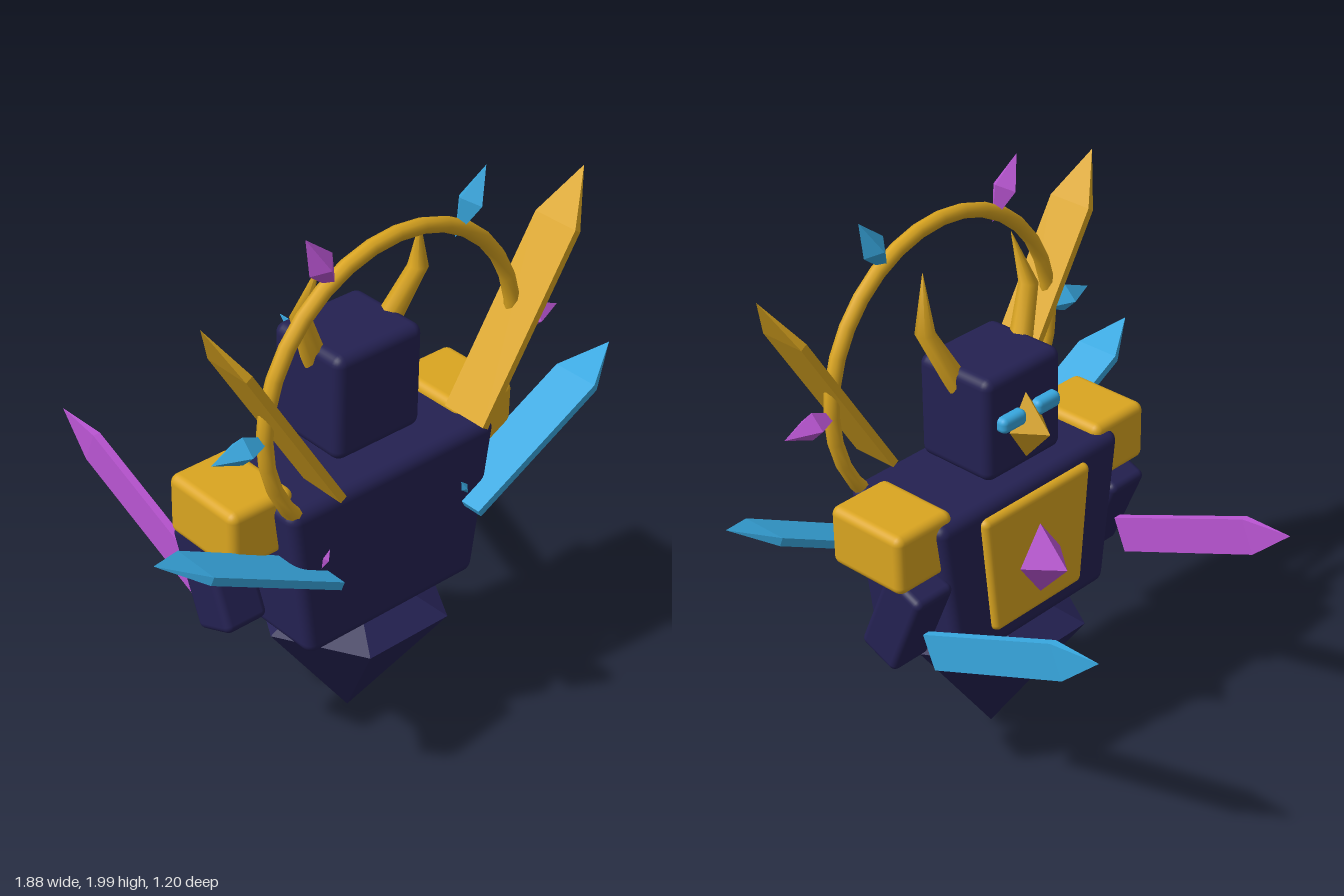
import * as THREE from 'three';
import { RoundedBoxGeometry } from 'three/addons/geometries/RoundedBoxGeometry.js';

const mat = (name, color) => {
  const m = new THREE.MeshStandardMaterial({ color });
  m.name = name;
  return m;
};

export function createModel() {
  const navy = mat('navy', 0x242152);
  const gold = mat('gold', 0xdaa520);
  const cyan = mat('cyan', 0x38a8e0);
  const orchid = mat('orchid', 0xba55d3);

  const model = new THREE.Group();
  model.name = 'crystalGuardian';

  const add = (name, geometry, material, x = 0, y = 0, z = 0) => {
    const mesh = new THREE.Mesh(geometry, material);
    mesh.name = name;
    mesh.position.set(x, y, z);
    model.add(mesh);
    return mesh;
  };

  // Faceted solid of revolution with a corner on the diagonal of its first side
  const faceted = (points, sides) => {
    const g = new THREE.LatheGeometry(points.map(p => new THREE.Vector2(...p)), sides)
      .rotateY(Math.PI / sides).toNonIndexed();
    g.computeVertexNormals();
    return g;
  };

  const rounded = (w, h, d, r) => new RoundedBoxGeometry(w, h, d, 3, r);

  // Rounded box narrowed towards its base
  const tapered = (w, h, d, r, bottomScale) => {
    const g = rounded(w, h, d, r);
    const p = g.attributes.position;
    for (let i = 0; i < p.count; i++) {
      const t = p.getY(i) / h + 0.5;
      p.setX(i, p.getX(i) * (bottomScale + (1 - bottomScale) * t));
    }
    return g;
  };

  const crystal = (rx, ry, rz) => new THREE.OctahedronGeometry(1).scale(rx, ry, rz);

  // Flat blade pointing up from its base, with a pyramid tip
  const blade = (width, thickness, length, tip) => {
    const r = Math.SQRT1_2;
    return faceted([[0, 0], [r, 0], [r, length - tip], [0, length]], 4)
      .scale(thickness, 1, width);
  };

  // Tapered horn from rings along a bent path
  const horn = side => {
    const path = [[0.14, 1.43, 0.285, 0.042], [0.237, 1.635, 0.33, 0.033], [0.2, 1.815, 0.37, 0.001]];
    const sides = 8, pos = [], index = [];
    path.forEach(([x, y, z, r], k) => {
      const lean = [0.44, 0.12, -0.2][k];
      for (let i = 0; i < sides; i++) {
        const a = i / sides * Math.PI * 2;
        const c = Math.cos(a) * r;
        pos.push(side * (x + c * Math.cos(lean)), y - c * Math.sin(lean), z + Math.sin(a) * r);
      }
    });
    for (let k = 0; k < path.length - 1; k++) {
      for (let i = 0; i < sides; i++) {
        const a = k * sides + i, b = k * sides + (i + 1) % sides;
        const c = a + sides, d = b + sides;
        if (side > 0) index.push(a, c, b, b, c, d);
        else index.push(a, b, c, b, d, c);
      }
    }
    const g = new THREE.BufferGeometry();
    g.setAttribute('position', new THREE.Float32BufferAttribute(pos, 3));
    g.setIndex(index);
    g.computeVertexNormals();
    return g;
  };

  // Floating lower body
  add('lowerCrystal', faceted([[0, 0.005], [0.335, 0.47], [0, 0.64]], 6), navy, 0, 0, 0.305);

  // Torso and chest
  add('torso', tapered(0.86, 0.57, 0.43, 0.04, 0.82), navy, 0, 0.805, 0.305);
  add('chestPlate', tapered(0.51, 0.45, 0.06, 0.025, 0.82), gold, 0, 0.825, 0.095);
  add('chestCrystal', crystal(0.105, 0.145, 0.13), orchid, 0, 0.8, 0.075);

  // Head and face
  add('head', rounded(0.35, 0.37, 0.31, 0.035), navy, 0, 1.315, 0.28);
  add('faceCrystal', crystal(0.08, 0.125, 0.11), gold, 0, 1.285, 0.13);

  for (const s of [1, -1]) {
    const side = s > 0 ? 'left' : 'right';
    add(side + 'Eye', rounded(0.11, 0.055, 0.08, 0.02), cyan, s * 0.08, 1.337, 0.13);
    add(side + 'Horn', horn(s), gold);

    // Shoulder, arm and forward blade
    add(side + 'Shoulder', rounded(0.247, 0.215, 0.314, 0.03), gold, s * 0.464, 1.013, 0.276);
    add(side + 'Arm', rounded(0.165, 0.35, 0.165, 0.025), navy, s * 0.468, 0.745, 0.218)
      .rotation.x = -0.4;
    const armBlade = add(side + 'ArmBlade', blade(0.127, 0.027, 0.77, 0.175),
      s > 0 ? cyan : orchid, s * 0.468, 0.65, 0.11);
    armBlade.rotation.x = 0.397 - Math.PI / 2;

    // Back blades
    add(side + 'UpperBackBlade', blade(0.17, 0.027, 0.863, 0.19), gold, s * 0.293, 1.145, 0.512)
      .rotation.z = -s * 0.56;
    add(side + 'LowerBackBlade', blade(0.17, 0.027, 0.736, 0.165), cyan, s * 0.29, 0.82, 0.512)
      .rotation.z = -s * 1.083;
  }

  // Halo with six crystals in alternating colours
  add('halo', new THREE.TorusGeometry(0.505, 0.026, 8, 32), gold, 0, 1.39, 0.485);
  for (let i = 0; i < 6; i++) {
    const a = i * Math.PI / 3;
    add('haloCrystal', crystal(0.117, 0.049, 0.049), i % 2 ? cyan : orchid,
      0.587 * Math.cos(a), 1.39 + 0.587 * Math.sin(a), 0.485).rotation.z = a;
  }

  return model;
}
